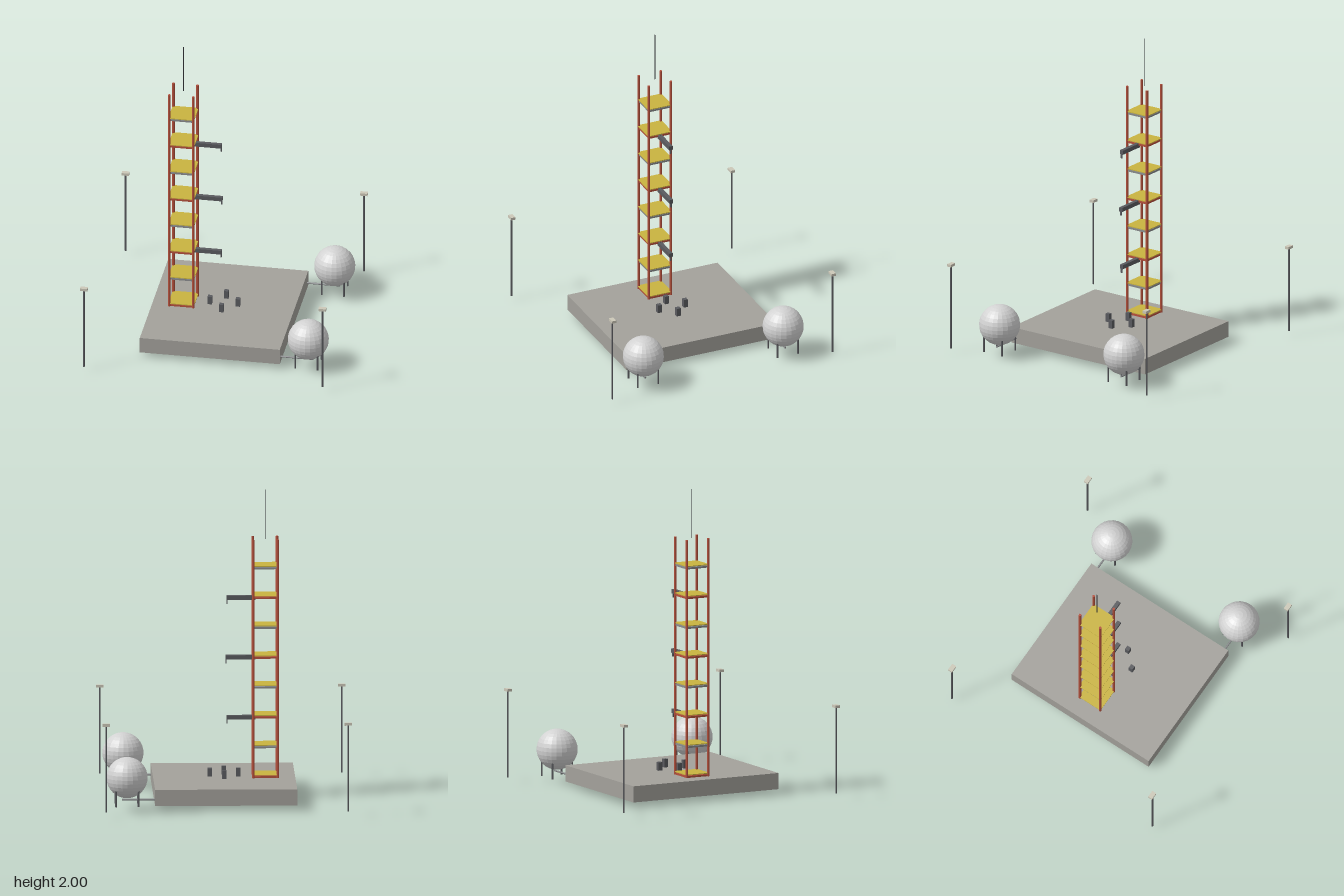
import * as THREE from 'three';

const mat = (name, color, flatShading = false) =>
  Object.assign(new THREE.MeshStandardMaterial({ color, flatShading }), { name });

export function createModel() {
  const root = new THREE.Group();
  root.name = 'launchPad';

  const concrete = mat('concrete', 0xa3a19b);
  const red = mat('towerRed', 0xb5503c);
  const yellow = mat('deckYellow', 0xc9b440);
  const grey = mat('frameGrey', 0x8a8c8e);
  const dark = mat('darkSteel', 0x5a5b5f);
  const trenchMat = mat('trenchGrey', 0x55565a, true);
  const white = mat('tankWhite', 0xd2d2d2, true);
  const black = mat('mastBlack', 0x35363a);
  const lampMat = mat('lampCream', 0xccc8b8);

  const add = (parent, name, geo, material, x, y, z) => {
    const m = new THREE.Mesh(geo, material);
    m.name = name;
    m.position.set(x, y, z);
    parent.add(m);
    return m;
  };
  const box = (parent, name, material, w, h, d, x, y, z) =>
    add(parent, name, new THREE.BoxGeometry(w, h, d), material, x, y, z);
  // Upright rod from y0 to y1
  const rod = (parent, name, material, r, x, z, y0, y1) =>
    add(parent, name, new THREE.CylinderGeometry(r, r, y1 - y0, 8), material, x, (y0 + y1) / 2, z);
  const group = (name) => {
    const g = new THREE.Group();
    g.name = name;
    root.add(g);
    return g;
  };

  // Pad slab and the turned, four-sided deflector beneath it
  box(root, 'padSlab', concrete, 0.91, 0.105, 1.058, 0, 0.0875, 0);
  const deflector = add(root, 'flameDeflector',
    new THREE.CylinderGeometry(0.225, 0.29, 0.035, 4), trenchMat, 0, 0.0175, 0);
  deflector.rotation.y = 0.46;

  // Hold-down posts in a ring
  const posts = group('holdDownPosts');
  for (const [x, z] of [[0.091, 0], [-0.091, 0], [0, 0.091], [0, -0.091]])
    box(posts, 'holdDownPost', dark, 0.028, 0.055, 0.028, x, 0.1665, z);

  // Service tower: four legs, eight floors, mast
  const tower = group('serviceTower');
  const tx = -0.264;
  for (const sx of [-1, 1])
    for (const sz of [-1, 1])
      rod(tower, 'towerLeg', red, 0.0085, tx + sx * 0.078, sz * 0.078, 0.14, 1.685);
  for (let i = 0; i < 8; i++) {
    const y = 0.14 + i * 0.1935;
    box(tower, 'floorFrame', i % 2 ? grey : red, 0.158, 0.012, 0.158, tx, y + 0.006, 0);
    box(tower, 'floorDeck', yellow, 0.168, 0.005, 0.168, tx, y + 0.0195, 0);
  }
  rod(tower, 'mast', black, 0.003, tx, 0, 1.68, 2.0);

  // Swing arms with a hanging connector at the tip
  const arms = group('swingArms');
  for (const [y, tip] of [[0.523, -0.015], [0.913, -0.009], [1.299, -0.015]]) {
    box(arms, 'armPivot', dark, 0.02, 0.03, 0.022, -0.19, y, 0);
    box(arms, 'swingArm', dark, tip + 0.185, 0.027, 0.025, (tip - 0.185) / 2, y, 0);
    box(arms, 'armConnector', dark, 0.008, 0.03, 0.01, tip - 0.004, y - 0.025, 0);
  }

  // Spherical tanks with four legs and a feed pipe to the slab
  for (const sz of [-1, 1]) {
    const tank = group(sz > 0 ? 'frontTank' : 'backTank');
    const x = 0.634, z = sz * 0.492;
    add(tank, 'tankSphere', new THREE.SphereGeometry(0.132, 24, 16), white, x, 0.215, z);
    for (const dx of [-0.072, 0.072])
      for (const dz of [-0.072, 0.072])
        rod(tank, 'tankLeg', dark, 0.006, x + dx, z + dz, 0.035, 0.15);
    const pipe = add(tank, 'feedPipe',
      new THREE.CylinderGeometry(0.006, 0.006, 0.225, 8), grey, 0.5535, 0.072, z);
    pipe.rotation.z = Math.PI / 2;
  }

  // Floodlight poles at the four corners
  const lights = group('floodlights');
  for (const sx of [-1, 1])
    for (const sz of [-1, 1]) {
      rod(lights, 'lightPole', dark, 0.006, sx * 0.775, sz * 0.775, 0.035, 0.597);
      box(lights, 'lampHead', lampMat, 0.048, 0.017, 0.03, sx * 0.775, 0.602, sz * 0.773);
    }

  return root;
}
